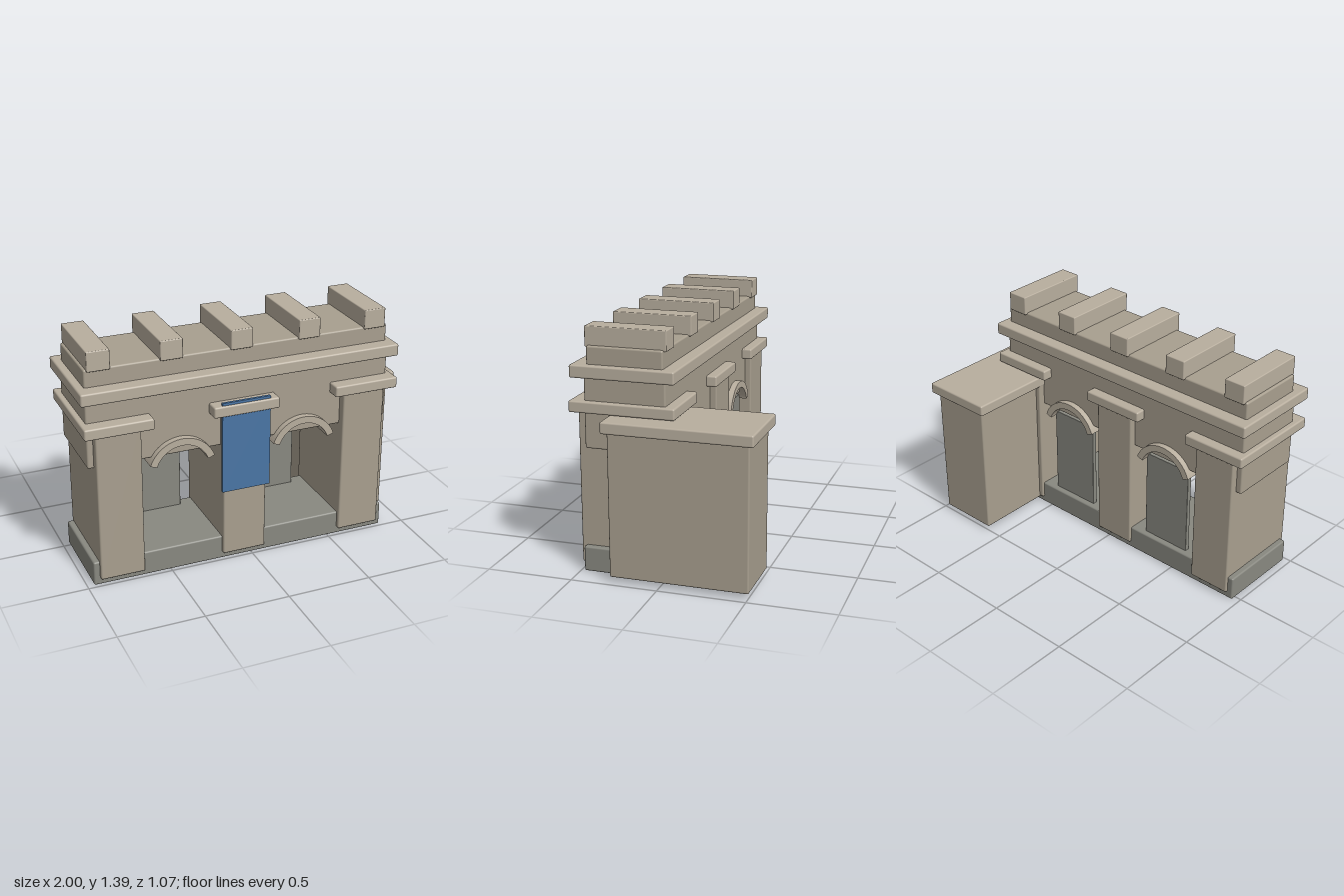
import * as THREE from 'three';
import { RoundedBoxGeometry } from 'three/addons/geometries/RoundedBoxGeometry.js';

const mat = (color) => new THREE.MeshStandardMaterial({ color });

export function createModel() {
  const model = new THREE.Group();
  const stone = mat(0xa89f8f);
  const trim = mat(0xb8ae9e);
  const slate = mat(0x888880);
  const blue = mat(0x4a75a5);

  // Bevelled block given by its extents on each axis
  function block(name, [x0, x1], [y0, y1], [z0, z1], material, bevel = 0.01) {
    const w = x1 - x0, h = y1 - y0, d = z1 - z0;
    const geo = bevel ? new RoundedBoxGeometry(w, h, d, 2, bevel) : new THREE.BoxGeometry(w, h, d);
    const mesh = new THREE.Mesh(geo, material);
    mesh.name = name;
    mesh.position.set((x0 + x1) / 2, (y0 + y1) / 2, (z0 + z1) / 2);
    model.add(mesh);
  }
  const around = (c, half) => [c - half, c + half];

  // Plinth, wall above the openings, cornice and attic
  block('base', [-0.96, 0.855], [0, 0.145], [-0.035, 0.48], slate);
  block('upperWall', [-0.96, 0.855], [0.72, 1.14], [-0.01, 0.455], stone);
  block('cornice', [-1, 0.89], [1.118, 1.19], [-0.07, 0.525], trim);
  block('attic', [-0.955, 0.85], [1.17, 1.29], [0.005, 0.44], stone);

  // Piers with capitals
  for (const x of [-0.795, -0.055, 0.69]) {
    block('pier', around(x, 0.13), [0.04, 0.95], [-0.05, 0.505], stone);
    block('capital', around(x, 0.197), [0.925, 0.99], [-0.07, 0.535], trim);
  }

  // Roof blocks
  for (let i = 0; i < 5; i++) {
    block('merlon', around(-0.875 + i * 0.41, 0.065), [1.28, 1.395], [-0.01, 0.455], trim, 0.006);
  }

  // Curved arch bands with recessed door panels
  const a0 = THREE.MathUtils.degToRad(19), a1 = Math.PI - a0;
  const band = new THREE.Shape();
  band.absarc(0, 0, 0.201, a0, a1, false);
  band.absarc(0, 0, 0.16, a1, a0, true);
  band.closePath();
  const bandGeo = new THREE.ExtrudeGeometry(band, { depth: 0.54, bevelEnabled: false, curveSegments: 16 });
  for (const x of [-0.425, 0.317]) {
    const arch = new THREE.Mesh(bandGeo, trim);
    arch.name = 'archBand';
    arch.position.set(x, 0.62, -0.047);
    model.add(arch);
    block('doorPanel', around(x, 0.156), [0.13, 0.7], [0, 0.03], slate, 0.004);
  }

  // Hanging banner
  block('banner', [-0.2, 0.09], [0.455, 1.005], [0.508, 0.524], blue, 0);

  // Side block with its flat cap
  block('sideBlock', [0.59, 0.965], [0.03, 0.88], [-0.505, 0.285], stone);
  block('sideCap', [0.555, 1], [0.853, 0.92], [-0.535, 0.31], trim);

  return model;
}
